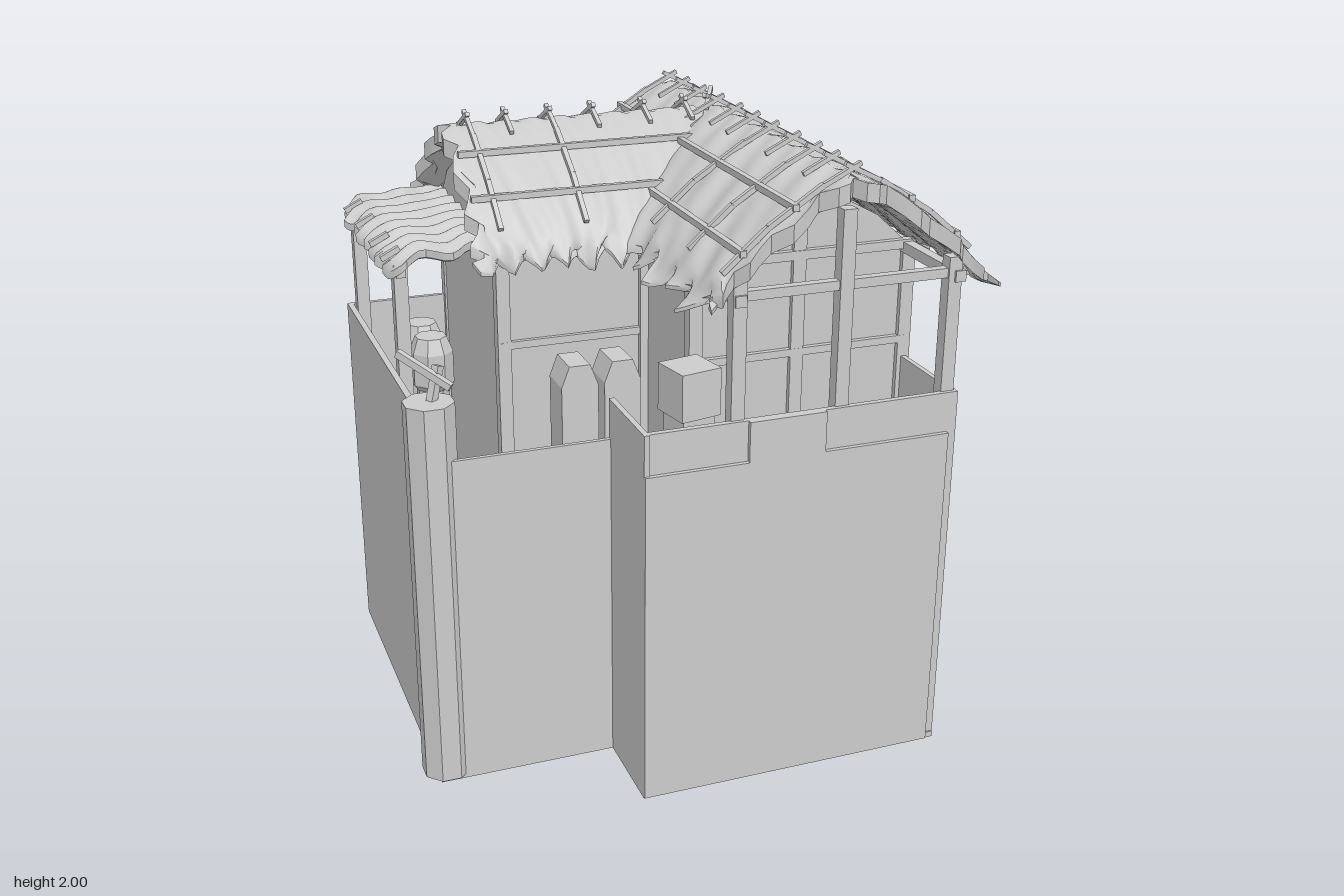
import * as THREE from 'three';
import { toCreasedNormals } from 'three/addons/utils/BufferGeometryUtils.js';

const mat = new THREE.MeshStandardMaterial({ color: 0xcccccc, side: THREE.DoubleSide });
const V = (x, y, z) => new THREE.Vector3(x, y, z);

function add(parent, name, geo, x = 0, y = 0, z = 0) {
  const m = new THREE.Mesh(geo, mat);
  m.name = name;
  m.position.set(x, y, z);
  parent.add(m);
  return m;
}

// Box given by its limits on each axis
function block(parent, name, x0, x1, y0, y1, z0, z1) {
  return add(parent, name, new THREE.BoxGeometry(x1 - x0, y1 - y0, z1 - z0),
    (x0 + x1) / 2, (y0 + y1) / 2, (z0 + z1) / 2);
}

// Square stick between two points
function stick(parent, name, a, b, w = 0.02) {
  const m = add(parent, name, new THREE.BoxGeometry(w, w, a.distanceTo(b)), ...a.clone().lerp(b, 0.5).toArray());
  m.lookAt(b);
  return m;
}

// Flat panel from an outline, extruded by a small thickness along z
function panel(parent, name, pts, z, depth = 0.015) {
  const shape = new THREE.Shape(pts.map(p => new THREE.Vector2(...p)));
  return add(parent, name, new THREE.ExtrudeGeometry(shape, { depth, bevelEnabled: false }), 0, 0, z);
}

// Closed sheet: u runs along z, v along x; gap(v) is the thickness
function sheet(nu, nv, at, gap) {
  const pos = [], idx = [], R = 2 * (nv + 1);
  for (let i = 0; i <= nu; i++) {
    for (let j = 0; j < R; j++) {
      const v = (j <= nv ? j : R - 1 - j) / nv;
      const p = at(i / nu, v);
      pos.push(p.x, p.y - (j <= nv ? 0 : gap(v)), p.z);
    }
  }
  for (let i = 0; i < nu; i++) {
    for (let j = 0; j < R; j++) {
      const a = i * R + j, b = i * R + (j + 1) % R, c = b + R, d = a + R;
      idx.push(a, d, b, b, d, c);
    }
  }
  for (let j = 0; j < nv; j++) {
    const a = j, b = j + 1, c = R - 2 - j, d = R - 1 - j, e = nu * R;
    idx.push(a, b, c, a, c, d, e + a, e + c, e + b, e + a, e + d, e + c);
  }
  const g = new THREE.BufferGeometry();
  g.setAttribute('position', new THREE.Float32BufferAttribute(pos, 3));
  g.setIndex(idx);
  return toCreasedNormals(g, 0.8);
}

const tri = t => Math.abs((((t % 1) + 1) % 1) * 2 - 1) * 2 - 1;
const roofCurve = new THREE.SplineCurve([[0, 1.955], [0.13, 1.9], [0.3, 1.78], [0.41, 1.68], [0.46, 1.61]]
  .map(p => new THREE.Vector2(...p)));
const roofY = d => {
  let t = 0;
  while (t < 1 && roofCurve.getPoint(t).x < d) t += 0.01;
  return roofCurve.getPoint(t).y;
};

// Ragged thatch over a ridge along z, with purlins and ridge battens tied on top
function thatchRoof(name, len, teeth, valley, purlins, battens, longOnes) {
  const g = new THREE.Group();
  g.name = name;
  const at = (u, v) => {
    const s = v * 2 - 1, t = Math.abs(s), side = Math.sign(s), p = roofCurve.getPoint(t);
    const jag = (tri(u * teeth + side * 0.2) * 0.045 + 0.012 * Math.sin(u * 37 + side)) * t ** 8;
    const fray = tri(v * 9) * 0.03 * (u - 0.5) * (Math.abs(2 * u - 1) > 0.95 ? 2 : 0);
    const billow = 0.012 * Math.sin(u * teeth * 4.1 + s * 5) * t + 0.006 * Math.sin(u * 61 + s * 17);
    return V(side * (p.x + jag), p.y + billow - jag * 0.4, (u - 0.5) * len - valley * t * u + fray);
  };
  add(g, 'thatch', sheet(teeth * 6, 28, at, v => 0.012 + 0.045 * (1 - Math.abs(v * 2 - 1) ** 4)));
  for (const d of purlins) {
    const y = roofY(Math.abs(d)) + 0.014, end = len / 2 - valley * Math.abs(d) * 1.7;
    stick(g, 'purlin', V(d, y, -len / 2 + 0.01), V(d, y, end - 0.02));
  }
  battens.forEach((z, i) => {
    for (const side of [-1, 1]) {
      stick(g, 'ridgeBatten', V(-side * 0.025, 1.992, z), V(side * 0.09, 1.935, z), 0.014);
      if (!longOnes.includes(i)) continue;
      for (const [d0, d1] of [[0.09, 0.26], [0.26, 0.4]]) {
        stick(g, 'longBatten', V(side * d0, roofY(d0) + 0.018, z), V(side * d1, roofY(d1) + 0.018, z), 0.016);
      }
    }
  });
  return g;
}

// Eight-sided hanging column with a wider capped head
function roundColumn(parent, x, z) {
  const profile = [[0, 0.02], [0.055, 0.02], [0.055, 1.12], [0.072, 1.14], [0.072, 1.25], [0.052, 1.3], [0, 1.3]];
  const geo = new THREE.LatheGeometry(profile.map(p => new THREE.Vector2(...p)), 8, Math.PI / 8);
  add(parent, 'roundColumn', toCreasedNormals(geo, 0.3), x, 0, z);
}

// Square pillar with chamfered top
function squareColumn(parent, x, z) {
  panel(parent, 'squareColumn', [[-0.062, 0.03], [0.062, 0.03], [0.062, 1.19], [0.035, 1.26], [-0.035, 1.26], [-0.062, 1.19]],
    z - 0.065, 0.13).position.x = x;
}

// Chimney: slim shaft with a turned box on top
function chimney(parent, x, z, turn) {
  const g = new THREE.Group();
  g.name = 'chimney';
  block(g, 'chimneyShaft', -0.055, 0.055, 0.02, 1.25, -0.055, 0.055);
  block(g, 'chimneyHead', -0.068, 0.068, 1.25, 1.4, -0.068, 0.068);
  g.position.set(x, 0, z);
  g.rotation.y = turn;
  parent.add(g);
}

export function createModel() {
  const model = new THREE.Group();
  model.name = 'thatchedHouse';

  // L-shaped floor
  block(model, 'floor', -0.86, 0.75, 0.005, 0.025, -0.68, 0.51);
  block(model, 'floor', -0.28, 0.75, 0.005, 0.025, 0.51, 0.81);

  // Yard walls
  block(model, 'sideWall', -0.86, -0.84, 0.01, 1.25, -0.68, 0.45);
  block(model, 'yardFrontWall', -0.84, -0.28, 0.01, 1.12, 0.495, 0.51);
  block(model, 'yardSideWall', -0.28, -0.262, 0.01, 1.25, 0.495, 0.81);
  block(model, 'frontWall', -0.28, 0.75, 0.01, 1.25, 0.785, 0.805);
  panel(model, 'frontPanel', [[-0.28, 0.01], [0.72, 0.01], [0.72, 1.12], [0.3, 1.12], [0.3, 1.25],
    [0.05, 1.25], [0.05, 1.12], [-0.28, 1.12]], 0.805);
  block(model, 'rightWall', 0.735, 0.752, 0.01, 1.25, -0.68, 0.805);
  block(model, 'backWall', -0.86, 0.75, 0.01, 1.25, -0.685, -0.668);

  // House walls under the roofs
  block(model, 'hallSideWall', 0.73, 0.75, 1.25, 1.64, -0.67, 0.45);
  block(model, 'hallInnerWall', 0, 0.018, 0.02, 1.62, 0.06, 0.45);
  block(model, 'wingFrontWall', -0.5, 0.01, 0.02, 1.62, 0.045, 0.062);
  block(model, 'wingBackWall', -0.5, 0.01, 1.25, 1.62, -0.67, -0.653);
  const gable = w => [[-w, 0.02], [w, 0.02], [w, 1.63], [0.26, 1.73], [0, 1.87], [-0.26, 1.73], [-w, 1.63]];
  panel(model, 'hallFrontGable', gable(0.37), 0.435).position.x = 0.37;
  panel(model, 'hallBackGable', gable(0.37), -0.67).position.x = 0.37;
  const wingEnd = panel(model, 'wingGable', gable(0.35), 0);
  wingEnd.position.set(-0.505, 0, -0.305);
  wingEnd.rotation.y = Math.PI / 2;

  // Posts standing through the floor
  const posts = [[0.02, 0.77, 1.68], [0.36, 0.77, 1.86], [0.72, 0.77, 1.68], [0.742, 0.445, 1.64], [0.742, 0.05, 1.67],
    [0.742, -0.67, 1.66], [0.015, 0.445, 1.66], [0.36, 0.445, 1.85], [-0.49, 0.055, 1.62], [-0.49, -0.67, 1.62],
    [0.01, -0.68, 1.63], [0.36, -0.68, 1.83], [-0.005, 0.06, 1.62], [-0.81, 0.03, 1.6], [-0.81, -0.65, 1.6]];
  for (const [x, z, h] of posts) block(model, 'post', x - 0.022, x + 0.022, 0, h, z - 0.022, z + 0.022);

  // Beams
  for (const z of [0.77, 0.455, -0.685]) stick(model, 'tieBeam', V(0, 1.63, z), V(0.75, 1.63, z), 0.03);
  for (const z of [0.455, -0.685]) stick(model, 'rail', V(0, 1.31, z), V(0.75, 1.31, z), 0.025);
  for (const z of [0.065, -0.67]) stick(model, 'wingRail', V(-0.5, 1.3, z), V(0, 1.3, z), 0.025);
  for (const x of [0.02, 0.735]) stick(model, 'eaveBeam', V(x, 1.62, -0.7), V(x, 1.62, 0.8), 0.035);
  stick(model, 'sideRail', V(0.748, 1.3, -0.66), V(0.748, 1.3, 0.44), 0.025);
  stick(model, 'awningBeam', V(-0.81, 1.575, -0.68), V(-0.81, 1.575, 0.06), 0.03);

  // Round shutters
  for (const [x, z, turned] of [[0.752, 0.22, 1], [0.752, -0.47, 1], [-0.17, -0.671, 0]]) {
    const s = add(model, 'roundShutter', new THREE.CylinderGeometry(0.075, 0.075, 0.01, 10), x, 1.46, z);
    s.rotation[turned ? 'z' : 'x'] = Math.PI / 2;
  }

  // Roofs
  const hall = thatchRoof('hallRoof', 1.55, 11, 0, [-0.34, -0.18, 0.19, 0.35],
    [-0.73, -0.6, -0.44, -0.28, -0.12, 0.02, 0.17, 0.33, 0.48, 0.6, 0.74], [0, 3, 6, 8, 10]);
  hall.position.set(0.365, 0, 0.04);
  const wing = thatchRoof('wingRoof', 0.92, 7, 0.33, [-0.31, -0.16, 0.22, 0.37],
    [-0.38, -0.25, -0.1, 0.05, 0.23, 0.38], [0, 2]);
  wing.position.set(-0.12, -0.005, -0.285);
  wing.rotation.y = Math.PI / 2;
  model.add(hall, wing);

  // Rippled awning on the side
  const awning = (u, v) => {
    const out = 1 - v;
    const rag = (tri(u * 8) * 0.018 + 0.01 * Math.sin(u * 23)) * (out > 0.9 ? 1 : 0);
    return V(-0.845 + v * 0.345 + rag, 1.645 - 0.055 * out ** 5 + 0.01 * Math.sin(u * 50) + 0.008 * Math.sin(v * 9),
      -0.7 + u * 0.76 + (u - 0.5) * 0.06 * Math.sin(v * 14));
  };
  add(model, 'awning', sheet(64, 14, awning, () => 0.025));
  for (const z of [-0.6, -0.4, -0.17, 0]) stick(model, 'awningBatten', V(-0.86, 1.61, z), V(-0.8, 1.64, z), 0.018);

  // Corner tower with tied sticks
  const tower = add(model, 'cornerTower', toCreasedNormals(new THREE.CylinderGeometry(0.08, 0.08, 1.28, 8), 0.3), -0.83, 0.66, 0.455);
  tower.rotation.y = Math.PI / 8;
  stick(model, 'towerStick', V(-0.9, 1.435, 0.38), V(-0.765, 1.345, 0.48), 0.022);
  stick(model, 'towerStick', V(-0.82, 1.29, 0.45), V(-0.79, 1.4, 0.43), 0.025);

  // Columns and chimneys around the walls
  for (const z of [-0.11, -0.255]) {
    roundColumn(model, 0.835, z);
    roundColumn(model, -0.69, z);
  }
  for (const x of [-0.285, -0.14]) {
    squareColumn(model, x, 0.16);
    squareColumn(model, x, -0.755);
  }
  chimney(model, -0.09, 0.68, 0.2);
  chimney(model, 0.18, -0.76, 0.35);

  // Crossed sticks where the ridges meet
  stick(model, 'ridgeCross', V(0.33, 1.95, -0.25), V(0.4, 1.99, -0.38), 0.015);
  stick(model, 'ridgeCross', V(0.33, 1.99, -0.27), V(0.4, 1.95, -0.37), 0.015);

  return model;
}
